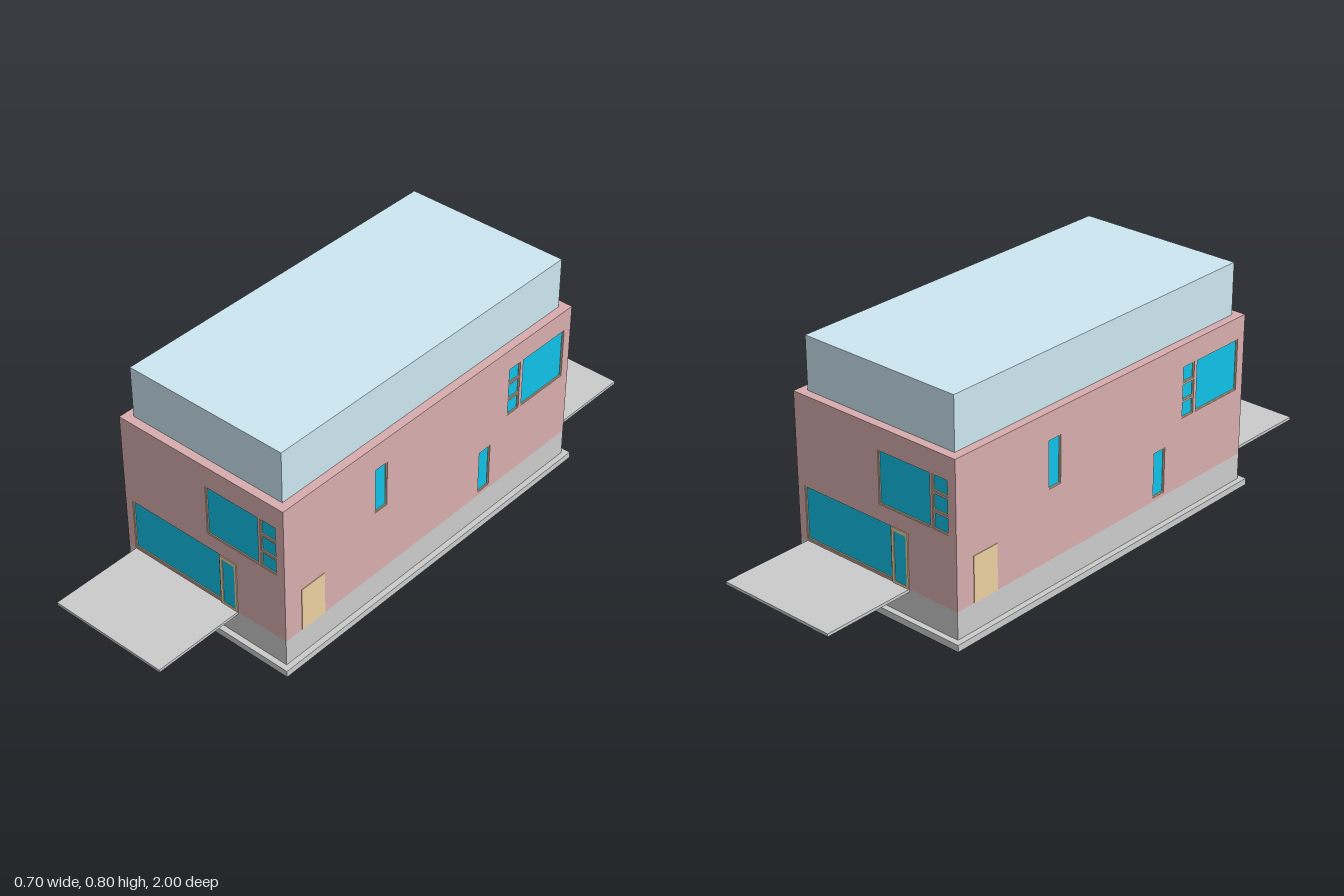
import * as THREE from 'three';

const mat = (color) => new THREE.MeshStandardMaterial({ color });
const GREY = mat(0xcccccc), WALL = mat(0xd9adaf), ROOF = mat(0xcce7f1);
const GLASS = mat(0x10c1e8), TAN = mat(0xecd1a2), FLOOR = mat(0x6b6b6b);
const BASE = 0.117, TOP = 0.615, W = 0.33, D = 0.67, T = 0.03;

function add(parent, name, geometry, material) {
  const mesh = new THREE.Mesh(geometry, material);
  mesh.name = name;
  parent.add(mesh);
  return mesh;
}

// Box given by its minimum and maximum on each axis
function box(parent, name, material, [x0, x1], [y0, y1], [z0, z1]) {
  const mesh = add(parent, name, new THREE.BoxGeometry(x1 - x0, y1 - y0, z1 - z0), material);
  mesh.position.set((x0 + x1) / 2, (y0 + y1) / 2, (z0 + z1) / 2);
  return mesh;
}

const points = (list) => list.map(([x, y]) => new THREE.Vector2(x, y));
const rect = (x0, x1, y0, y1) => points([[x0, y0], [x1, y0], [x1, y1], [x0, y1]]);

function extrude(outline, holes, depth) {
  const shape = new THREE.Shape(outline);
  holes.forEach((h) => shape.holes.push(new THREE.Path(h)));
  return new THREE.ExtrudeGeometry(shape, { depth, bevelEnabled: false });
}

// Wall panel whose outer face is z = 0, with framed, slightly recessed windows
function wall(name, half, windows) {
  const group = new THREE.Group();
  group.name = name;
  const holes = windows.map((w) => rect(...w));
  add(group, 'wallPanel', extrude(rect(-half, half, BASE, TOP), holes, T), WALL).position.z = -T;
  const b = 0.004;
  for (const [x0, x1, y0, y1] of windows) {
    const inner = rect(x0 + b, x1 - b, y0 + b, y1 - b);
    add(group, 'windowFrame', extrude(rect(x0, x1, y0, y1), [inner], 0.012), TAN).position.z = -0.014;
    box(group, 'windowGlass', GLASS, [x0 + b, x1 - b], [y0 + b, y1 - b], [-0.012, -0.005]);
  }
  return group;
}

// One large pane beside a stack of three small ones
const stackedWindow = (x0, x1, x2, x3, largeFirst) => {
  const [l, s] = largeFirst ? [[x0, x1], [x2, x3]] : [[x2, x3], [x0, x1]];
  return [[...l, 0.36, 0.54], [...s, 0.36, 0.417], [...s, 0.421, 0.479], [...s, 0.483, 0.54]];
};

// Hollow base plan: an outer ring with a stepped cross strip between two openings
function basePlan(parent, name, outX, outZ, inX, inZ, h, y0, y1) {
  const c = 0.065;
  const hole = [[inX, h - c], [h, h - c], [h, h + c], [-inX, h + c], [-inX, inZ], [inX, inZ]];
  const holes = [1, -1].map((s) => points(hole.map(([x, z]) => [s * x, -s * z])));
  const geometry = extrude(rect(-outX, outX, -outZ, outZ), holes, y1 - y0);
  geometry.rotateX(-Math.PI / 2);
  add(parent, name, geometry, GREY).position.y = y0;
}

// One dwelling: an end wall, a long wall, doors and a deck
function dwelling() {
  const group = new THREE.Group();
  group.name = 'dwelling';

  const end = wall('endWall', W, [
    [-0.3, 0.066, 0.123, 0.307],
    ...stackedWindow(0.02, 0.23, 0.238, 0.3, true),
  ]);
  end.position.z = D;
  group.add(end);

  const side = wall('sideWall', D - T, [
    [-0.275, -0.22, 0.36, 0.525],
    [0.222, 0.277, 0.13, 0.29],
    ...stackedWindow(0.358, 0.414, 0.427, 0.637, false),
  ]);
  side.rotation.y = Math.PI / 2;
  side.position.x = W;
  group.add(side);

  // Glazed entrance door
  const doorGeo = extrude(rect(0.068, 0.135, BASE, 0.305), [rect(0.079, 0.127, 0.125, 0.293)], 0.006);
  add(group, 'entranceDoor', doorGeo, TAN).position.z = D - 0.003;
  box(group, 'entranceDoorGlass', GLASS, [0.078, 0.128], [0.124, 0.294], [D - 0.002, D + 0.001]);

  box(group, 'sideDoor', TAN, [W - 0.002, W + 0.002], [BASE, 0.275], [0.5, 0.6]);
  box(group, 'deck', GREY, [-0.3, 0.135], [0.107, BASE], [D, 1]);
  return group;
}

export function createModel() {
  const model = new THREE.Group();
  model.name = 'house';

  basePlan(model, 'footing', 0.35, 0.69, 0.28, 0.62, 0.035, 0, 0.023);
  basePlan(model, 'foundation', W, D, 0.3, 0.64, 0.015, 0.023, BASE);
  box(model, 'floor', FLOOR, [-0.31, 0.31], [BASE - 0.002, BASE + 0.004], [-0.65, 0.65]);
  box(model, 'roofBlock', ROOF, [-0.3, 0.3], [TOP - 0.03, 0.795], [-0.64, 0.64]);

  // The two dwellings are half-turn copies of each other
  for (const turn of [0, Math.PI]) {
    const half = dwelling();
    half.rotation.y = turn;
    model.add(half);
  }
  return model;
}
